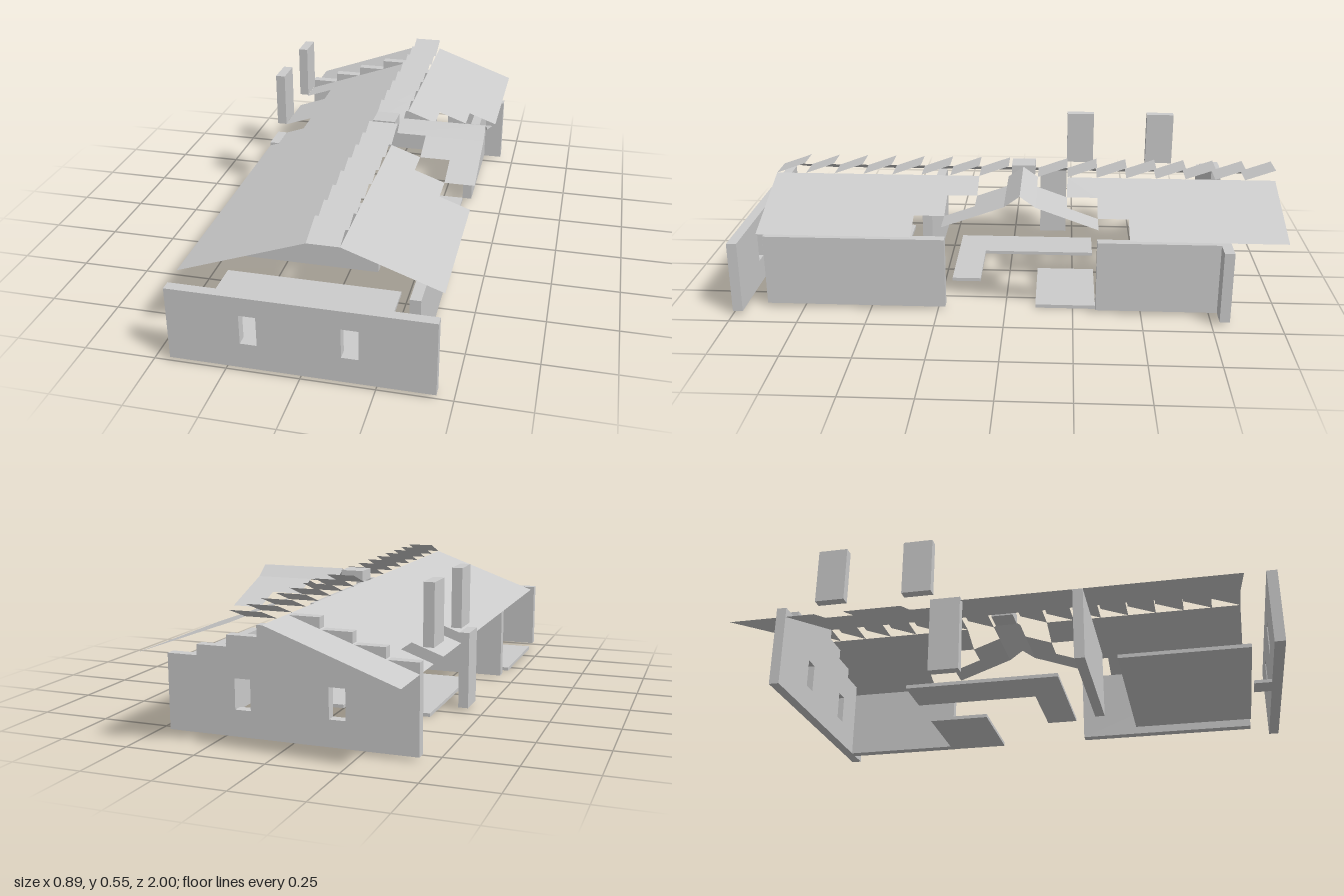
import * as THREE from 'three';

export function createModel() {
  const group = new THREE.Group();
  group.name = 'house';
  const stone = new THREE.MeshStandardMaterial({ color: 0xcccccc, side: THREE.DoubleSide });
  stone.name = 'pale grey';

  const U = 1 / 9;      // plan grid cell
  const S = 0.04;       // roof rise per cell
  const T = 0.037;      // wall thickness
  const BASE = 0.013, EAVE = 0.28, TOP = 0.44;

  const add = (name, geometry) => {
    const mesh = new THREE.Mesh(geometry, stone);
    mesh.name = name;
    group.add(mesh);
    return mesh;
  };
  // Box from opposite limits
  const block = (name, x0, x1, y0, y1, z0, z1) => {
    const m = add(name, new THREE.BoxGeometry(x1 - x0, y1 - y0, z1 - z0));
    m.position.set((x0 + x1) / 2, (y0 + y1) / 2, (z0 + z1) / 2);
  };
  // Thin sheet: plan outline in grid cells [x, z], lifted by a height rule
  const sheet = (name, outline, height) => {
    const shape = new THREE.Shape(outline.map(([x, z]) => new THREE.Vector2(x * U, -z * U)));
    const geo = new THREE.ShapeGeometry(shape).toNonIndexed();
    const p = geo.attributes.position;
    for (let i = 0; i < p.count; i++) {
      const x = p.getX(i), z = -p.getY(i);
      p.setXYZ(i, x, height(x / U, z / U), z);
    }
    geo.computeVertexNormals();
    add(name, geo);
  };
  // Wall across x with two windows
  const windowWall = (name, outline, z) => {
    const shape = new THREE.Shape(outline.map(([x, y]) => new THREE.Vector2(x, y)));
    for (const x of [-0.197, 0.138]) {
      const w = 0.057, y0 = 0.106, y1 = 0.213;
      shape.holes.push(new THREE.Path([
        new THREE.Vector2(x, y0), new THREE.Vector2(x, y1),
        new THREE.Vector2(x + w, y1), new THREE.Vector2(x + w, y0)]));
    }
    add(name, new THREE.ExtrudeGeometry(shape, { depth: T, bevelEnabled: false })).position.z = z;
  };

  // Front wall, and back wall with a stepped gable
  windowWall('frontWall', [[-4 * U, BASE], [4 * U, BASE], [4 * U, EAVE], [-4 * U, EAVE]], 1 - T);
  const gable = [[4 * U, BASE]];
  [0, 1, 2, 3, 4, 3, 2, 1].forEach((step, i) => {
    const x = (4 - i) * U, y = EAVE + step * S - (step ? 0.002 : 0);
    gable.push([x, y], [x - U, y]);
  });
  gable.push([-4 * U, BASE]);
  windowWall('backWall', gable, -7 * U - T);

  // Side and inner walls
  block('sideWallFront', 3 * U, 3 * U + T, BASE, EAVE, 2 * U, 8 * U);
  block('sideWallBack', 3 * U, 3 * U + T, BASE, EAVE, -7 * U, -3 * U);
  block('innerWall', -4 * U, U, BASE, EAVE, 3 * U - T, 3 * U);
  block('sidePillar', -4 * U, -4 * U + T, BASE, 0.294, -2 * U, -U);

  // Floors and the low step
  block('frontFloor', -4 * U, 2 * U, 0, BASE, 4 * U, 8 * U);
  block('porchFloor', 0, 3 * U, 0, BASE, -3 * U, -U);
  block('hallFloor', -3 * U, U, 0, BASE, U, 2 * U);
  block('passageFloor', -3 * U, -1.5 * U, 0, BASE, -3 * U, U);
  block('frontStep', -0.1, -0.015, BASE, 0.025, 0.9, 1 - T);

  // Left roof with two notches at the eave
  sheet('leftRoof', [[-4, 8], [0, 8], [0, -9], [-4, -9], [-4, -6], [-3, -6], [-3, -5], [-4, -5],
    [-4, -3], [-3, -3], [-3, -2], [-4, -2]], x => TOP + x * S);

  // Right roof with a stepped opening for the cross gable
  sheet('rightRoof', [[1, 8], [4, 8], [4, 3], [3, 3], [3, 2], [2, 2], [2, 1], [1, 1]],
    x => TOP - (x - 1) * S);
  sheet('rightRoof', [[1, -2], [2, -2], [2, -3], [3, -3], [3, -4], [4, -4], [4, -9], [1, -9]],
    x => TOP - (x - 1) * S);

  // Cross gable slopes and ridge
  sheet('crossRoofFront', [[2, 0], [2, 1], [3, 1], [3, 2], [4, 2], [4, 0]], (x, z) => TOP - z * S);
  sheet('crossRoofBack', [[1, -1], [4, -1], [4, -3], [3, -3], [3, -2], [2, -2], [2, -1]],
    (x, z) => TOP + (z + 1) * S);
  sheet('crossRidgeFront', [[1, 0], [4, 0], [4, -0.5], [1, -0.5]], (x, z) => TOP - 2 * z * S);
  sheet('crossRidgeBack', [[1, -0.5], [4, -0.5], [4, -1], [1, -1]], (x, z) => TOP + 2 * (z + 1) * S);

  // Tilted ridge tiles, leaving a gap for the ridge block
  for (let z = 8; z > -9; z--) {
    if (z === 0) continue;
    sheet('ridgeTile', [[0, z], [1, z], [1, z - 1], [0, z - 1]], (x, zz) => TOP + (z - zz) * S);
  }
  block('ridgeBlock', 0.012, 0.099, TOP, 0.48, -0.1, -0.012);

  // Chimneys above the notches
  for (const z of [-3, -6]) {
    block('chimney', -4 * U, -4 * U + T, 0.333, 0.545, z * U, (z + 1) * U);
  }
  return group;
}
